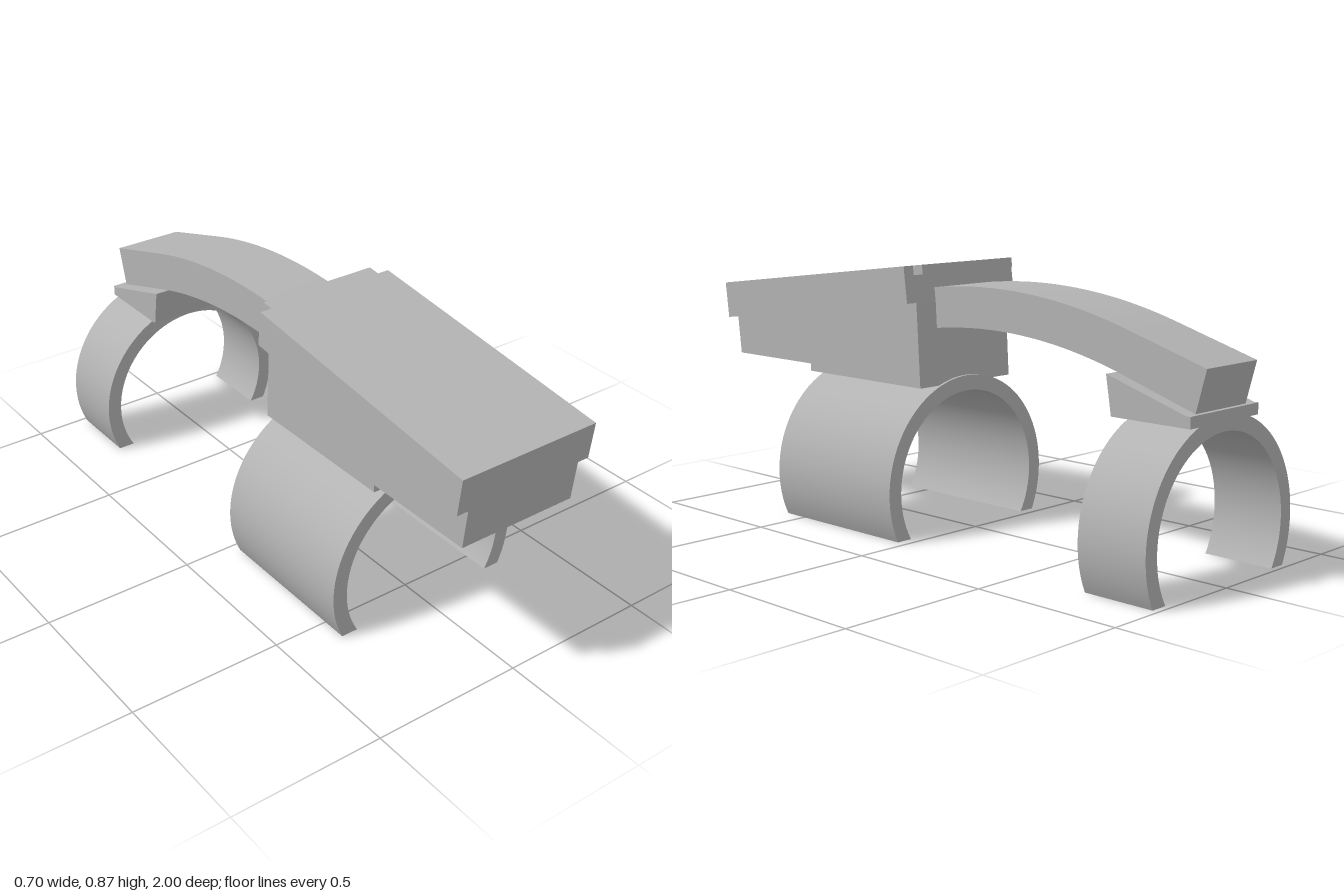
import * as THREE from 'three';
import { toCreasedNormals } from 'three/addons/utils/BufferGeometryUtils.js';

export function createModel() {
  const model = new THREE.Group();
  const grey = new THREE.MeshStandardMaterial({ color: 0xb3b3b3 });
  grey.name = 'grey';

  const add = (name, geometry) => {
    const mesh = new THREE.Mesh(toCreasedNormals(geometry, 0.5), grey);
    mesh.name = name;
    model.add(mesh);
  };

  // Extrudes a side profile of [z, y] points across x, centred on x = 0
  const sidePart = (name, points, halfWidth) => {
    const shape = new THREE.Shape(points.map(([z, y]) => new THREE.Vector2(z, y)));
    const geometry = new THREE.ExtrudeGeometry(shape, { depth: 2 * halfWidth, bevelEnabled: false });
    geometry.translate(0, 0, -halfWidth).rotateY(-Math.PI / 2);
    add(name, geometry);
  };

  // Open clamp ring, cut flat at y = 0
  const clamp = (name, back, front) => {
    const cy = 0.152, outer = 0.35, inner = 0.3;
    const a = Math.asin(cy / outer), b = Math.asin(cy / inner);
    const shape = new THREE.Shape();
    shape.absarc(0, cy, outer, -a, Math.PI + a, false);
    shape.absarc(0, cy, inner, Math.PI + b, -b, true);
    const geometry = new THREE.ExtrudeGeometry(shape, {
      depth: front - back, bevelEnabled: false, curveSegments: 48,
    });
    add(name, geometry.translate(0, 0, back));
  };
  clamp('frontClamp', 0.035, 0.585);
  clamp('rearClamp', -0.98, -0.74);

  // Body block with a stepped underside
  sidePart('body', [
    [0.985, 0.635], [0.97, 0.505], [0.585, 0.505], [0.585, 0.48], [0.044, 0.48], [0.06, 0.752],
  ], 0.205);

  // Wider sloping cover and the narrow lip behind it
  sidePart('cover', [[1, 0.757], [0.985, 0.635], [0.06, 0.752], [0.075, 0.869]], 0.245);
  sidePart('coverLip', [[0.075, 0.869], [0.072, 0.839], [0.03, 0.844], [0.034, 0.874]], 0.205);

  // Arm: an arc that runs out into a straight end
  const arcZ = -0.17, arcY = -1.09, end = 0.293, start = -0.13;
  const arc = (r) => Array.from({ length: 25 }, (_, i) => {
    const t = start + (end - start) * i / 24;
    return [arcZ - r * Math.sin(t), arcY + r * Math.cos(t)];
  });
  sidePart('arm', [...arc(1.9), [-1, 0.645], [-0.965, 0.515], ...arc(1.77).reverse()], 0.12);

  // Wedge joining the arm to the rear clamp
  sidePart('rearWedge', [
    [-0.68, 0.602], [-0.7, 0.48], [-0.98, 0.48], [-0.98, 0.515], [-0.965, 0.515],
  ], 0.163);

  return model;
}
